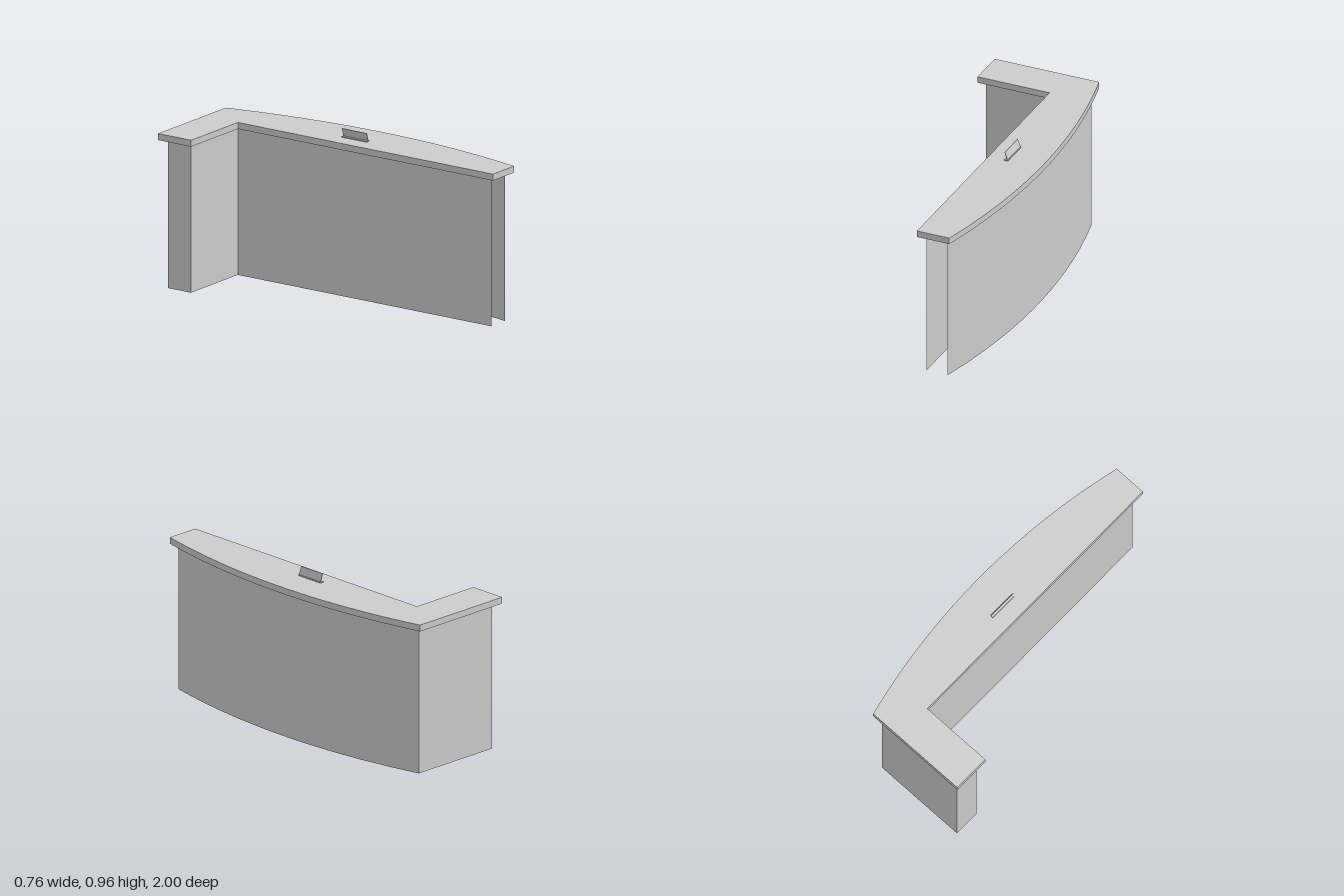
import * as THREE from 'three';
import { toCreasedNormals } from 'three/addons/utils/BufferGeometryUtils.js';

const UNDER = 0.866, TOP = 0.904; // underside and upper face of the worktop

// Circle through (xEnd, +-halfZ) and (xMid, 0)
function bow(xEnd, xMid, halfZ) {
  const s = xMid - xEnd;
  const radius = (halfZ * halfZ + s * s) / (2 * s);
  return { radius, centre: xMid - radius, angle: Math.asin(halfZ / radius) };
}

export function createModel() {
  const group = new THREE.Group();
  const solid = new THREE.MeshStandardMaterial({ color: 0xcccccc });
  const thin = new THREE.MeshStandardMaterial({ color: 0xcccccc, side: THREE.DoubleSide });
  const add = (name, geometry, material, x, y, z) => {
    const mesh = new THREE.Mesh(geometry, material);
    mesh.name = name;
    mesh.position.set(x, y, z);
    group.add(mesh);
    return mesh;
  };

  // L-shaped worktop with a bowed outer edge
  const edge = bow(0.26, 0.38, 1);
  const outline = new THREE.Shape();
  outline.moveTo(0.06, -0.77);
  outline.lineTo(-0.385, -0.77);
  outline.lineTo(-0.385, -1);
  outline.lineTo(0.26, -1);
  outline.absarc(edge.centre, 0, edge.radius, -edge.angle, edge.angle, false);
  outline.lineTo(0.06, 1);
  outline.closePath();
  const slab = new THREE.ExtrudeGeometry(outline, { depth: TOP - UNDER, bevelEnabled: false, curveSegments: 48 });
  slab.rotateX(Math.PI / 2);
  add('worktop', toCreasedNormals(slab, 0.4), solid, 0, TOP, 0);

  // Curved outer panel, open at the front end and below
  const face = bow(0.23, 0.345, 0.96);
  add('curvedPanel', new THREE.CylinderGeometry(face.radius, face.radius, UNDER, 48, 1, true,
    Math.PI / 2 - face.angle, 2 * face.angle), thin, face.centre, UNDER / 2, 0);

  // Straight inner panel along the staff side
  const inner = add('innerPanel', new THREE.PlaneGeometry(1.76, UNDER), thin, 0.1, UNDER / 2, 0.08);
  inner.rotation.y = -Math.PI / 2;

  // Panel joining the curved face to the return pedestal
  const back = add('backPanel', new THREE.PlaneGeometry(0.13, UNDER), thin, 0.165, UNDER / 2, -0.96);
  back.rotation.y = Math.PI;

  // Closed pedestal under the short return
  add('returnPedestal', new THREE.BoxGeometry(0.445, UNDER, 0.16), solid, -0.1225, UNDER / 2, -0.88);

  // Small leaning sign on its foot
  add('signFoot', new THREE.BoxGeometry(0.023, 0.005, 0.175), solid, 0.1715, 0.907, -0.037);
  const plate = add('signPlate', new THREE.BoxGeometry(0.003, 0.049, 0.172), solid, 0.1705, 0.933, -0.037);
  plate.rotation.z = Math.atan2(0.015, 0.046);

  return group;
}
